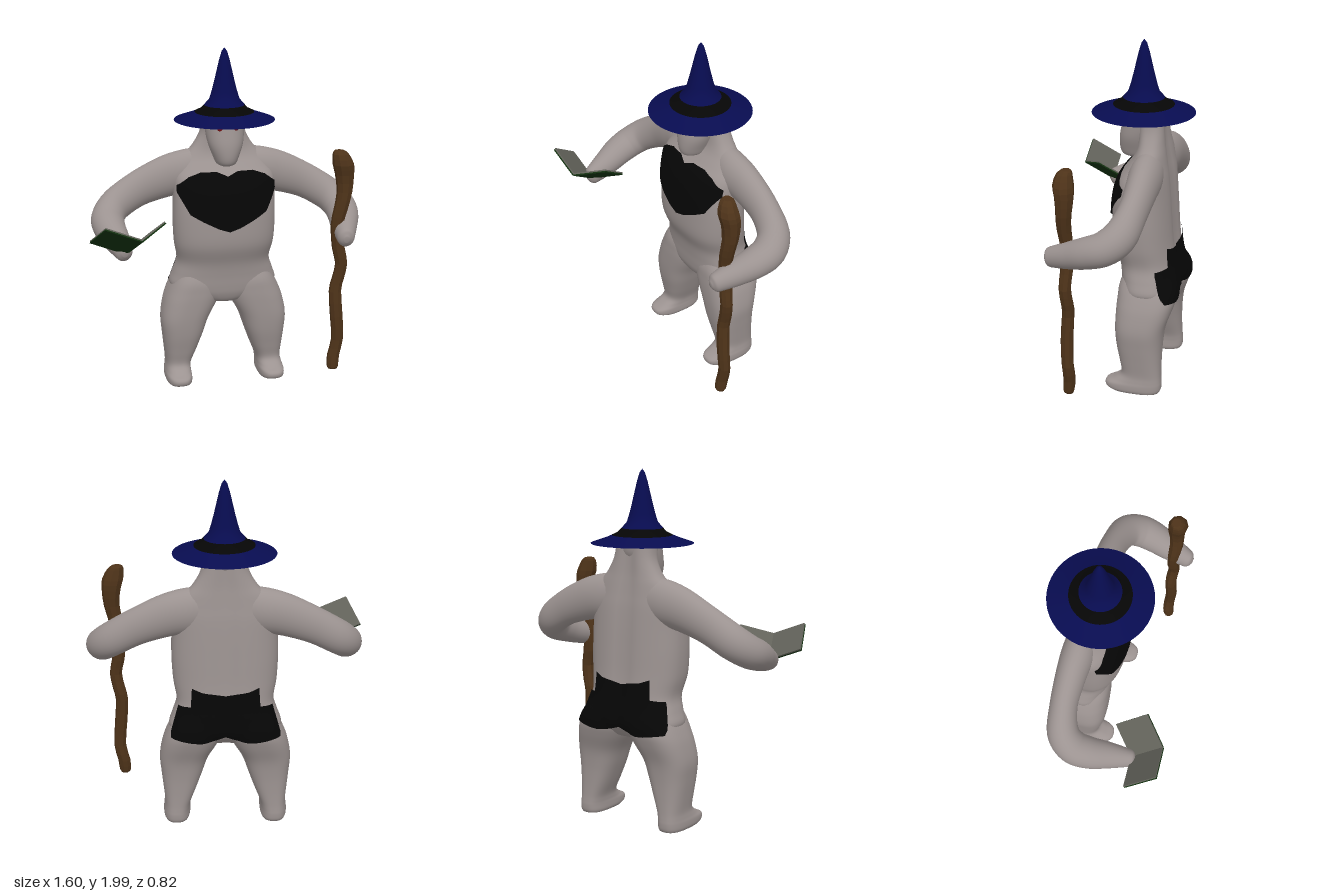
import * as THREE from 'three';

const V = (x, y, z) => new THREE.Vector3(x, y, z);
const mat = (color, extra = {}) => new THREE.MeshStandardMaterial({ color, ...extra });

// Skin a list of rings (equal point counts) and close both ends
function skin(rings) {
  const n = rings[0].length, pos = [], idx = [];
  rings.forEach(r => r.forEach(p => pos.push(p.x, p.y, p.z)));
  for (let j = 0; j < rings.length - 1; j++) {
    for (let i = 0; i < n; i++) {
      const a = j * n + i, b = j * n + (i + 1) % n;
      idx.push(a, a + n, b, b, a + n, b + n);
    }
  }
  [0, rings.length - 1].forEach((j, end) => {
    const c = rings[j].reduce((s, p) => s.add(p), V(0, 0, 0)).divideScalar(n);
    const k = pos.length / 3;
    pos.push(c.x, c.y, c.z);
    for (let i = 0; i < n; i++) {
      const a = j * n + i, b = j * n + (i + 1) % n;
      if (end) idx.push(k, b, a); else idx.push(k, a, b);
    }
  });
  const g = new THREE.BufferGeometry();
  g.setAttribute('position', new THREE.Float32BufferAttribute(pos, 3));
  g.setIndex(idx);
  g.computeVertexNormals();
  return g;
}

// Smoothly sample a table of section rows
function sampleRows(rows, steps) {
  const spline = new THREE.CubicInterpolant(rows.map((_, i) => i), rows.flat(), rows[0].length);
  const count = (rows.length - 1) * steps;
  return Array.from({ length: count + 1 }, (_, k) => Array.from(spline.evaluate(k / steps)));
}

// Upright form from rows [y, centreX, halfWidth, zFront, zBack]
function upright(rows, power, side = 1, groove = 0) {
  return skin(sampleRows(rows, 5).map(([y, cx, hw, zf, zb]) =>
    Array.from({ length: 48 }, (_, i) => {
      const t = i / 48 * Math.PI * 2, c = Math.cos(t), s = Math.sin(t);
      const x = Math.sign(c) * Math.abs(c) ** (2 / power) * hw;
      let z = (zf + zb) / 2 + Math.sign(s) * Math.abs(s) ** (2 / power) * (zf - zb) / 2;
      if (s < 0) z += groove * Math.exp(-((x / 0.05) ** 2));
      return V(side * cx + x, y, z);
    })));
}

// Limb from rows [x, y, z, sideRadius, upRadius]
function limb(rows, side) {
  const s = sampleRows(rows, 6), p = s.map(r => V(side * r[0], r[1], r[2]));
  return skin(s.map((r, k) => {
    const T = p[Math.min(k + 1, p.length - 1)].clone().sub(p[Math.max(k - 1, 0)]).normalize();
    const S = T.clone().cross(V(0, 1, 0)).normalize(), U = S.clone().cross(T);
    return Array.from({ length: 28 }, (_, i) => {
      const t = i / 28 * Math.PI * 2;
      return p[k].clone().addScaledVector(S, Math.cos(t) * r[3]).addScaledVector(U, Math.sin(t) * r[4]);
    });
  }));
}

// Patch draped on meshes from front (dir 1) or back (dir -1); half outline rows [x, top, bottom]
function drape(half, dir, meshes) {
  const rows = [...half.slice(1).reverse().map(([x, a, b]) => [-x, a, b]), ...half];
  const ray = new THREE.Raycaster(), pos = [], idx = [], R = 14, steps = 6;
  const cols = (rows.length - 1) * steps;
  for (let k = 0; k <= cols; k++) {
    const i = Math.min(Math.floor(k / steps), rows.length - 2), f = k / steps - i;
    const [x, top, bot] = rows[i].map((v, q) => THREE.MathUtils.lerp(v, rows[i + 1][q], f));
    for (let j = 0; j <= R; j++) {
      const y = THREE.MathUtils.lerp(bot, top, j / R);
      ray.set(V(x, y, dir * 3), V(0, 0, -dir));
      const hit = ray.intersectObjects(meshes)[0];
      pos.push(x * 1.01, y, (hit ? hit.point.z : -0.16) + dir * 0.009);
      if (k < cols && j < R) {
        const a = k * (R + 1) + j, b = a + R + 1;
        if (dir > 0) idx.push(a, b, a + 1, a + 1, b, b + 1);
        else idx.push(a, a + 1, b, a + 1, b + 1, b);
      }
    }
  }
  const g = new THREE.BufferGeometry();
  g.setAttribute('position', new THREE.Float32BufferAttribute(pos, 3));
  g.setIndex(idx);
  g.computeVertexNormals();
  return g;
}

export function createModel() {
  const model = new THREE.Group(), figure = new THREE.Group();
  figure.name = 'figure';
  figure.position.x = 0.018;
  model.add(figure);
  const add = (parent, name, geometry, material) => {
    const m = new THREE.Mesh(geometry, material);
    m.name = name;
    parent.add(m);
    return m;
  };
  const skinMat = mat(0x9c9391), black = mat(0x060606, { side: THREE.DoubleSide });
  const blue = mat(0x080c50, { side: THREE.DoubleSide });

  // Torso with hips and neck, and head
  const torso = add(figure, 'torso', upright([
    [0.495, 0, 0.05, -0.1, -0.25], [0.515, 0, 0.13, -0.06, -0.295], [0.56, 0, 0.27, -0.038, -0.34],
    [0.61, 0, 0.318, -0.03, -0.362], [0.68, 0, 0.298, -0.024, -0.352],
    [0.76, 0, 0.275, -0.01, -0.335], [0.87, 0, 0.293, 0.028, -0.32], [1.0, 0, 0.3, 0.033, -0.31],
    [1.14, 0, 0.298, 0.025, -0.3], [1.25, 0, 0.295, -0.005, -0.29], [1.32, 0, 0.265, -0.055, -0.28],
    [1.38, 0, 0.225, -0.095, -0.272], [1.44, 0, 0.172, -0.108, -0.265], [1.52, 0, 0.13, -0.1, -0.26],
    [1.62, 0, 0.118, -0.06, -0.255]], 2.5, 1, 0.02), skinMat);
  add(figure, 'head', upright([
    [1.335, 0, 0.035, -0.03, -0.15], [1.35, 0, 0.058, 0.0, -0.17], [1.39, 0, 0.075, 0.013, -0.18],
    [1.46, 0, 0.1, 0.012, -0.2], [1.54, 0, 0.112, -0.004, -0.245], [1.62, 0, 0.113, -0.022, -0.255]],
    2.1), skinMat);

  // Legs, arms and eyes on both sides
  const legs = [];
  for (const side of [1, -1]) {
    const label = side > 0 ? 'left' : 'right';
    legs.push(add(figure, label + 'Leg', upright([
      [0.008, 0.282, 0.07, -0.01, -0.295], [0.025, 0.282, 0.077, 0.018, -0.303],
      [0.055, 0.282, 0.077, 0.018, -0.305], [0.08, 0.28, 0.074, -0.03, -0.303],
      [0.12, 0.275, 0.075, -0.072, -0.3], [0.2, 0.263, 0.095, -0.06, -0.298],
      [0.3, 0.25, 0.119, -0.04, -0.3], [0.4, 0.236, 0.14, -0.03, -0.312],
      [0.5, 0.2, 0.158, -0.028, -0.345], [0.57, 0.175, 0.158, -0.03, -0.362],
      [0.64, 0.16, 0.138, -0.037, -0.355], [0.72, 0.15, 0.1, -0.07, -0.31]], 2.7, side), skinMat));
    add(figure, label + 'Arm', limb([
      [0.04, 1.3, -0.19, 0.07, 0.12], [0.13, 1.29, -0.187, 0.084, 0.13], [0.23, 1.277, -0.187, 0.092, 0.13],
      [0.34, 1.252, -0.192, 0.085, 0.12], [0.5, 1.188, -0.19, 0.077, 0.103],
      [0.63, 1.11, -0.16, 0.088, 0.097], [0.683, 1.055, -0.09, 0.094, 0.092],
      [0.683, 1.02, 0, 0.09, 0.086], [0.66, 0.985, 0.1, 0.076, 0.075],
      [0.638, 0.955, 0.2, 0.055, 0.06], [0.632, 0.948, 0.235, 0.044, 0.05],
      [0.63, 0.945, 0.255, 0.015, 0.018]], side), skinMat);
    const eye = add(figure, label + 'Eye', new THREE.SphereGeometry(0.018, 16, 10), mat(0x8a1010));
    eye.scale.set(1, 0.65, 0.6);
    eye.position.set(side * 0.044, 1.555, -0.02);
  }

  // Dark chest plate and ragged seat patch
  add(figure, 'chestPatch', drape([[0, 1.28, 0.965], [0.06, 1.305, 0.985], [0.15, 1.305, 1.03],
    [0.22, 1.28, 1.07], [0.285, 1.23, 1.19]], 1, [torso]), black);
  add(figure, 'seatPatch', drape([[0, 0.82, 0.58], [0.06, 0.835, 0.56], [0.13, 0.845, 0.55],
    [0.185, 0.865, 0.555], [0.192, 0.755, 0.557], [0.262, 0.745, 0.57], [0.305, 0.6, 0.575]],
    -1, [torso, ...legs]), black);

  // Pointed hat with a band
  const lathe = pts => new THREE.LatheGeometry(pts.map(([r, y]) => new THREE.Vector2(r, y)), 48);
  const hat = new THREE.Group();
  hat.name = 'hat';
  hat.position.z = -0.12;
  figure.add(hat);
  add(hat, 'brim', lathe([[0.288, 1.592], [0.24, 1.609], [0.2, 1.623], [0.168, 1.637]]), blue);
  add(hat, 'band', lathe([[0.17, 1.637], [0.138, 1.652], [0.115, 1.676]]), black);
  add(hat, 'crown', lathe([[0.115, 1.676], [0.086, 1.71], [0.072, 1.755], [0.058, 1.81], [0.044, 1.87],
    [0.03, 1.93], [0.015, 1.98], [0, 2]]), blue);
  add(hat, 'underside', lathe([[0, 1.596], [0.288, 1.592]]), blue);

  // Gnarled staff, rows [y, x, radius]
  const staffRows = [[0.115, 0.617, 0.022], [0.13, 0.617, 0.034], [0.2, 0.622, 0.037], [0.3, 0.643, 0.036],
    [0.45, 0.632, 0.038], [0.6, 0.622, 0.037], [0.68, 0.638, 0.037], [0.77, 0.653, 0.036],
    [0.86, 0.635, 0.038], [1.0, 0.624, 0.038], [1.1, 0.642, 0.042], [1.2, 0.662, 0.046],
    [1.3, 0.66, 0.056], [1.36, 0.649, 0.062], [1.42, 0.632, 0.046], [1.44, 0.625, 0.028]];
  add(model, 'staff', skin(sampleRows(staffRows, 2).map(([y, x, r], k) => Array.from({ length: 9 }, (_, i) => {
    const t = i / 9 * Math.PI * 2;
    return V(x + Math.cos(t) * r, y, 0.143 + 0.004 * Math.sin(k) + Math.sin(t) * r * 0.92);
  }))), mat(0x4e3319, { flatShading: true }));

  // Open book: two leaves hinged on the spine
  const book = new THREE.Group(), spine = V(0.07, 0.115, 0.16);
  book.name = 'book';
  model.add(book);
  for (const side of [1, -1]) {
    const out = side > 0 ? V(0.145, 0.055, -0.13) : V(-0.195, 0.08, 0.01);
    const [a, b] = side > 0 ? [spine, out] : [out, spine];
    const m = new THREE.Matrix4().makeBasis(a, b, a.clone().cross(b).normalize())
      .setPosition(-0.605, 0.945, 0.232);
    const slab = (z, t) => new THREE.BoxGeometry(1, 1, t).translate(0.5, 0.5, z).applyMatrix4(m);
    add(book, side > 0 ? 'leftCover' : 'rightCover', slab(-0.005, 0.008), mat(0x12300f));
    add(book, side > 0 ? 'leftPages' : 'rightPages', slab(0.003, 0.008), mat(0x62625a));
  }
  return model;
}
